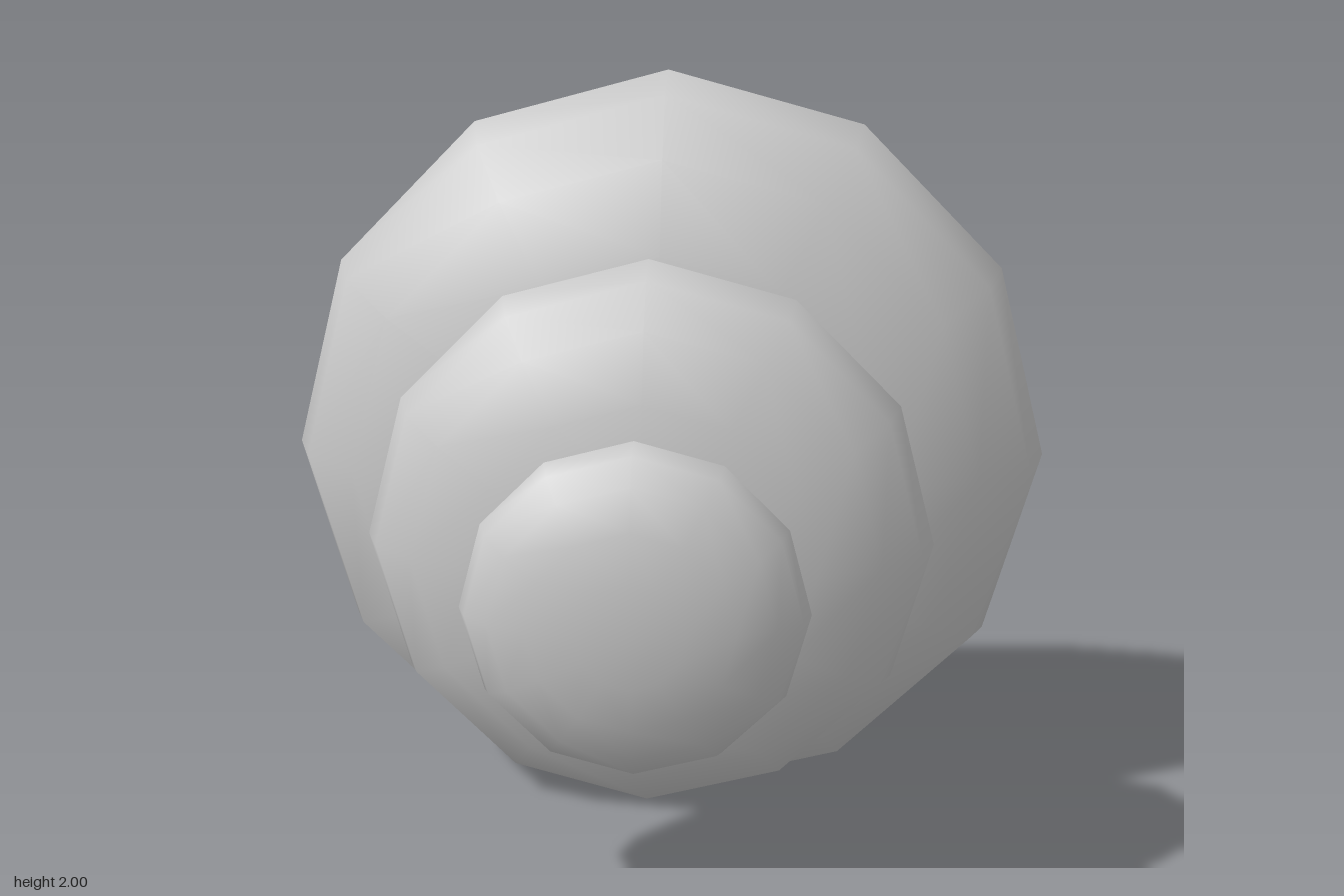
import * as THREE from 'three';

// One flattened sphere with its poles on the z axis
function disc(name, radius, halfDepth, z, material) {
  const geometry = new THREE.SphereGeometry(1, 12, 10);
  geometry.rotateX(Math.PI / 2);
  geometry.scale(radius, radius, halfDepth);
  const mesh = new THREE.Mesh(geometry, material);
  mesh.name = name;
  mesh.position.set(0, 1, z);
  return mesh;
}

export function createModel() {
  const group = new THREE.Group();
  group.name = 'stackedEllipsoids';
  const material = new THREE.MeshStandardMaterial({ color: 0xcccccc });

  // Three ellipsoids shrinking toward the front: name, radius, half depth, z
  const parts = [
    ['backEllipsoid', 1, 0.438, -0.463],
    ['middleEllipsoid', 0.662, 0.289, 0.28],
    ['frontEllipsoid', 0.375, 0.164, 0.74],
  ];
  for (const [name, radius, halfDepth, z] of parts) {
    group.add(disc(name, radius, halfDepth, z, material));
  }
  return group;
}
